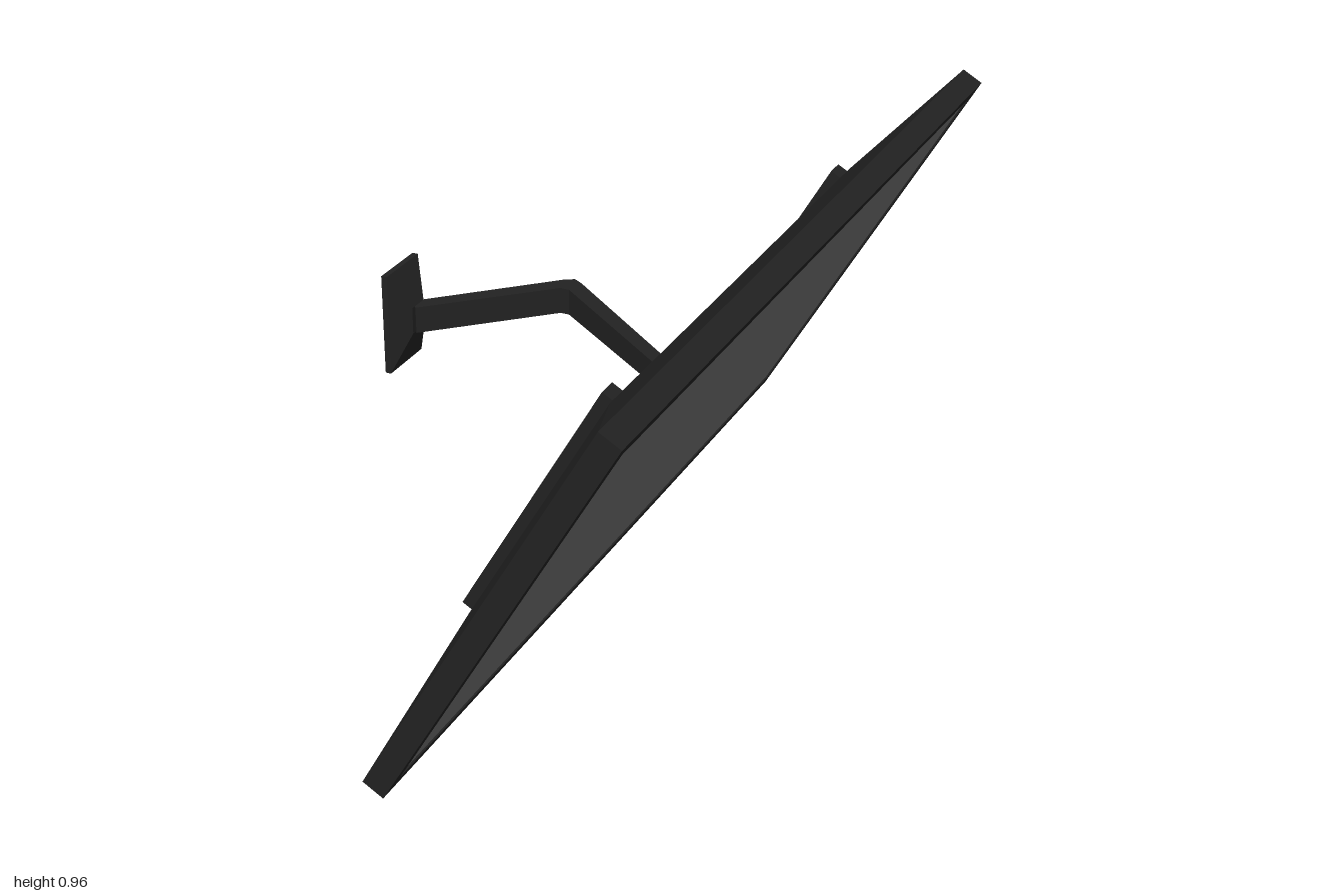
import * as THREE from 'three';

const mat = (name, color) => {
  const m = new THREE.MeshStandardMaterial({ color });
  m.name = name;
  return m;
};

// Closed polygon from [x, y] points
const poly = (pts, Type = THREE.Shape) => new Type(pts.map(p => new THREE.Vector2(...p)));

// Rectangle outline
const rect = (x0, y0, x1, y1, Type) => poly([[x0, y0], [x1, y0], [x1, y1], [x0, y1]], Type);

// Shape drawn in (z, y), thickened towards -x
function slab(shape, depth) {
  return new THREE.ExtrudeGeometry(shape, { depth, bevelEnabled: false }).rotateY(-Math.PI / 2);
}

// Box between two x planes whose ends are different rectangles [yMin, yMax, zMin, zMax]
function taper(x0, end0, x1, end1) {
  const g = new THREE.BoxGeometry(1, 1, 1);
  const p = g.attributes.position;
  for (let i = 0; i < p.count; i++) {
    const high = p.getX(i) > 0;
    const e = high ? end1 : end0;
    p.setXYZ(i, high ? x1 : x0, p.getY(i) > 0 ? e[1] : e[0], p.getZ(i) > 0 ? e[3] : e[2]);
  }
  g.computeVertexNormals();
  return g;
}

export function createModel() {
  const body = mat('blackPlastic', 0x222222);
  const dark = mat('darkPlastic', 0x1a1a1a);
  const glass = mat('screenGrey', 0x737373);
  const metal = mat('connectorMetal', 0x808080);

  const model = new THREE.Group();
  model.name = 'wallMountedTelevision';
  const add = (parent, name, geometry, material, x = 0, y = 0, z = 0) => {
    const m = new THREE.Mesh(geometry, material);
    m.name = name;
    m.position.set(x, y, z);
    parent.add(m);
    return m;
  };

  // Tilted television: local x is the screen normal, local y runs up the screen
  const tv = new THREE.Group();
  tv.name = 'television';
  tv.position.set(-0.005, 0, 0);
  tv.rotation.z = -THREE.MathUtils.degToRad(29.5);
  model.add(tv);
  const H = 1.077;

  // Housing, bezel and screen
  const full = [0, H, -1, 1];
  add(tv, 'housing', taper(-0.054, full, -0.008, full), body);
  const bezel = rect(-1, 0, 1, H);
  bezel.holes.push(rect(-0.963, 0.04, 0.963, 1.041, THREE.Path));
  add(tv, 'bezel', slab(bezel, 0.008), body);
  add(tv, 'screen', slab(rect(-0.963, 0.04, 0.963, 1.041), 0.004), glass, -0.004);

  // Sloping back cover
  add(tv, 'backCover', taper(-0.11, [0.207, 0.87, -0.64, 0.64], -0.054, full), body);

  // H-shaped mounting frame with slots in its rails
  const right = [[0.585, 0.21], [0.63, 0.21], [0.63, 0.87], [0.585, 0.87], [0.585, 0.59]];
  const frame = poly([
    [0.585, 0.49], ...right,
    [-0.585, 0.59], [-0.585, 0.87], [-0.63, 0.87], [-0.63, 0.21], [-0.585, 0.21], [-0.585, 0.49],
  ]);
  for (const s of [-1, 1]) {
    for (const [a, b] of [[0.225, 0.48], [0.6, 0.855]]) {
      frame.holes.push(rect(s * 0.607 - 0.012, a, s * 0.607 + 0.012, b, THREE.Path));
    }
  }
  add(tv, 'mountingFrame', slab(frame, 0.027), body, -0.109);

  // Connector panel with a raised rim and small sockets
  const rim = rect(-0.575, 0.235, -0.02, 0.465);
  rim.holes.push(rect(-0.565, 0.245, -0.03, 0.455, THREE.Path));
  add(tv, 'connectorRim', slab(rim, 0.006), body, -0.109);
  add(tv, 'connectorPanel', slab(rect(-0.565, 0.245, -0.03, 0.455), 0.002), dark, -0.109);
  const sockets = [
    ['powerSocket', -0.5, 0.42, 0.03, 0.03], ['videoSocket', -0.37, 0.31, 0.045, 0.035],
    ['cardSlot', -0.15, 0.4, 0.06, 0.014],
  ];
  for (const [name, z, y, w, h] of sockets) {
    add(tv, name, new THREE.BoxGeometry(0.006, h, w), dark, -0.113, y, z);
  }
  for (const [z, y] of [[-0.505, 0.42], [-0.49, 0.42], [-0.38, 0.31], [-0.36, 0.31]]) {
    add(tv, 'socketPin', new THREE.BoxGeometry(0.003, 0.008, 0.006), metal, -0.1175, y, z);
  }

  // Folded wall arm: plan outline in (x, z), its underside rising after the elbow
  const plan = poly([
    [-0.5, -0.012], [-0.235, -0.27], [-0.213, -0.283], [-0.19, -0.27],
    [0.165, 0.003], [0.165, 0.032], [0.14, 0.028], [-0.2, -0.225], [-0.222, -0.225], [-0.475, 0.016],
  ]);
  const arm = new THREE.ExtrudeGeometry(plan, { depth: 0.065, bevelEnabled: false });
  arm.rotateX(Math.PI / 2);
  const p = arm.attributes.position;
  for (let i = 0; i < p.count; i++) {
    if (p.getY(i) < -0.01 && p.getX(i) > -0.18) p.setY(i, -0.055);
  }
  arm.computeVertexNormals();
  add(model, 'wallArm', arm, body, 0, 0.566, 0);

  // Wall plate: flat foot with a tapered neck
  const foot = [0.41, 0.658, -0.072, 0.07];
  add(model, 'wallPlate', taper(-0.53, foot, -0.516, foot), body);
  add(model, 'wallPlateNeck', taper(-0.516, foot, -0.48, [0.501, 0.566, -0.03, 0.022]), body);

  return model;
}
